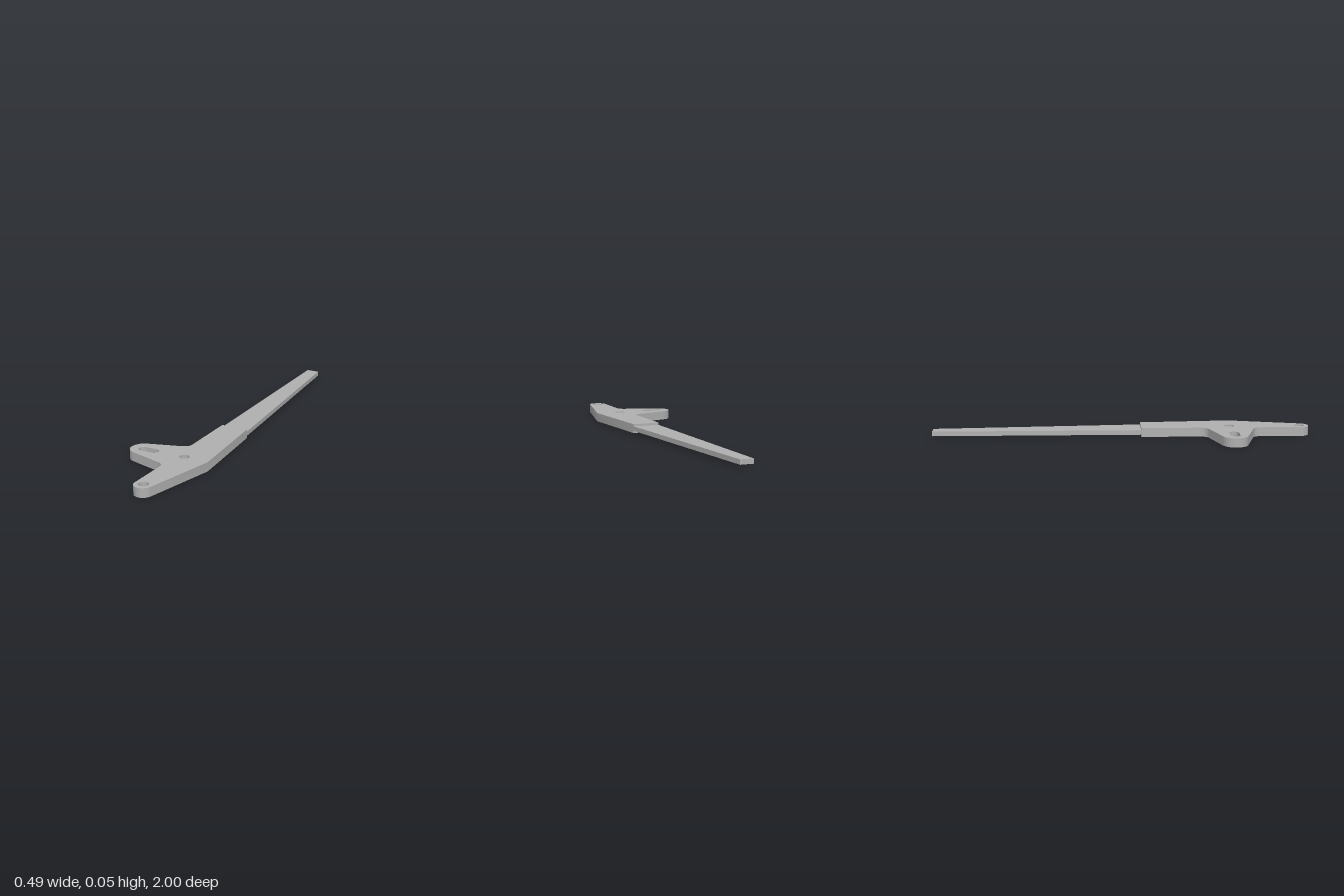
import * as THREE from 'three';
import { toCreasedNormals } from 'three/addons/utils/BufferGeometryUtils.js';

const steel = new THREE.MeshStandardMaterial({ color: 0xb0b0b0 });
steel.name = 'plain grey';

// Extrudes an outline drawn in (x, z) into a flat plate between two heights
function plate(name, shape, bottom, top) {
  const geo = new THREE.ExtrudeGeometry(shape, { depth: top - bottom, bevelEnabled: false, curveSegments: 20 });
  geo.rotateX(Math.PI / 2).translate(0, top, 0);
  const mesh = new THREE.Mesh(toCreasedNormals(geo, 0.5), steel);
  mesh.name = name;
  return mesh;
}

// Slot (or round hole when both ends coincide)
function slot(x1, z1, x2, z2, r) {
  const a = Math.atan2(z2 - z1, x2 - x1);
  const path = new THREE.Path();
  path.absarc(x2, z2, r, a - Math.PI / 2, a + Math.PI / 2, false);
  path.absarc(x1, z1, r, a + Math.PI / 2, a + Math.PI * 1.5, false);
  path.closePath();
  return path;
}

export function createModel() {
  const group = new THREE.Group();
  group.name = 'leverArm';
  const rad = THREE.MathUtils.degToRad;

  // Thick bracket: shank, front foot and side lobe joined by fillets
  const body = new THREE.Shape();
  body.moveTo(-0.029, 0.114);
  body.lineTo(0.116, 0.085);
  body.lineTo(0.244, 0.56);
  body.absarc(0.18, 0.952, 0.048, rad(2), rad(169.5), false);
  body.lineTo(0.095, 0.75);
  body.quadraticCurveTo(0.088, 0.713, 0.05, 0.71);
  body.absarc(-0.127, 0.624, 0.069, rad(94), rad(243.4), false);
  body.lineTo(0.004, 0.478);
  body.quadraticCurveTo(0.037, 0.461, 0.031, 0.428);
  body.closePath();
  body.holes.push(
    slot(0.18, 0.95, 0.18, 0.95, 0.026),
    slot(0.108, 0.577, 0.108, 0.577, 0.026),
    slot(-0.125, 0.626, -0.062, 0.614, 0.025),
  );
  group.add(plate('bracket', body, 0, 0.049));

  // Thin tapering blade continuing the shank
  const blade = new THREE.Shape();
  blade.moveTo(-0.029, 0.114);
  blade.lineTo(-0.246, -0.987);
  blade.lineTo(-0.177, -1);
  blade.lineTo(0.116, 0.085);
  blade.closePath();
  group.add(plate('blade', blade, 0.012, 0.037));

  return group;
}
